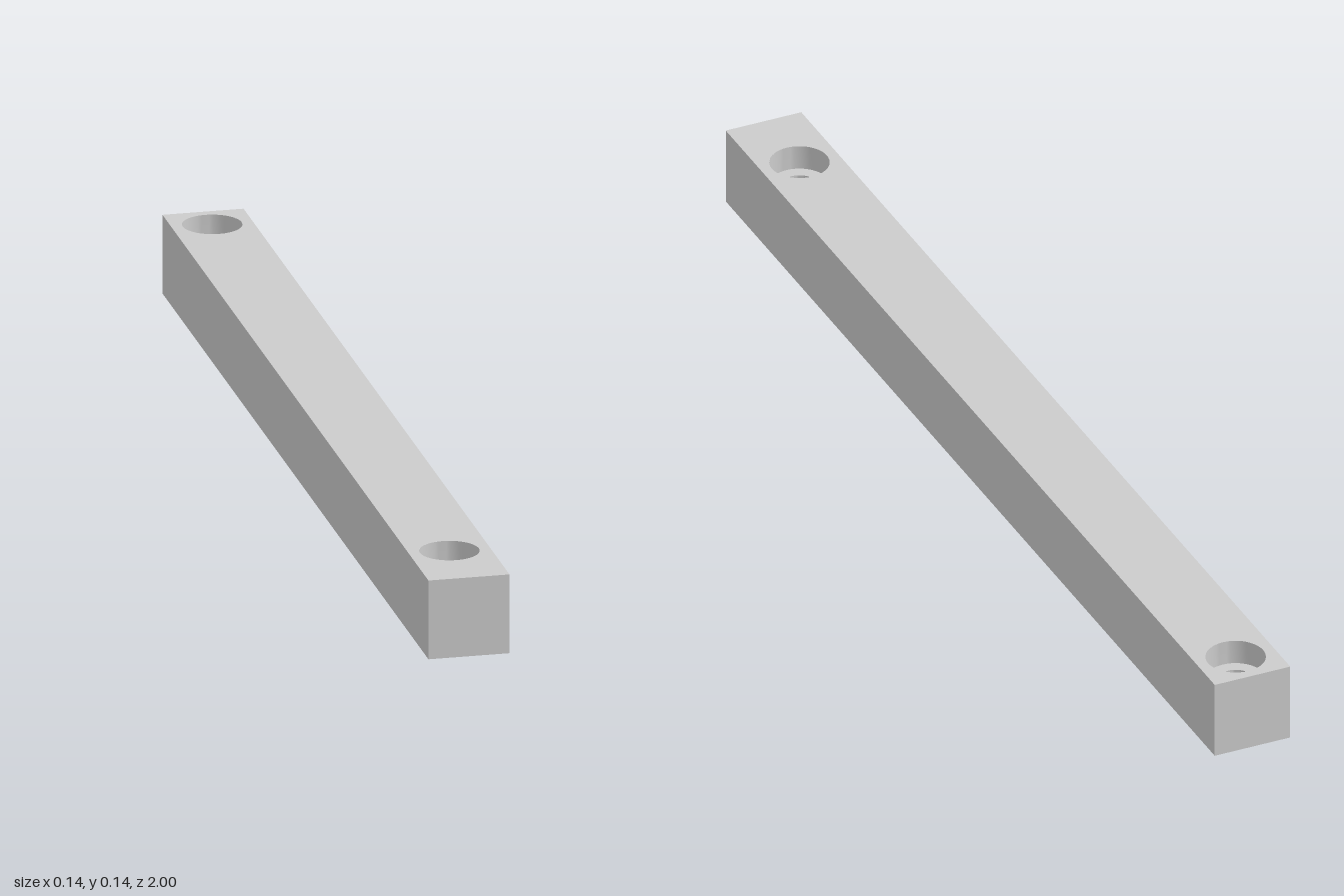
import * as THREE from 'three';
import { mergeGeometries, toCreasedNormals } from 'three/addons/utils/BufferGeometryUtils.js';

const W = 0.143, H = 0.143, L = 2;      // bar width, height, length
const BORE = 0.052, HOLE = 0.03;        // counterbore and through-hole radii
const DEPTH = 0.045;                    // counterbore depth
const HOLE_Z = [0.853, -0.931];
const SEG = 48;

// Rectangular face with a round opening at each screw position, facing up
function piercedFace(radius, y) {
  const s = new THREE.Shape();
  s.moveTo(-W / 2, -L / 2);
  s.lineTo(W / 2, -L / 2);
  s.lineTo(W / 2, L / 2);
  s.lineTo(-W / 2, L / 2);
  s.closePath();
  for (const z of HOLE_Z) {
    const hole = new THREE.Path();
    hole.absarc(0, -z, radius, 0, Math.PI * 2, true);
    s.holes.push(hole);
  }
  return new THREE.ShapeGeometry(s, SEG).rotateX(-Math.PI / 2).translate(0, y, 0);
}

// Turn a face over by reversing its triangles and normals
function flip(geometry) {
  geometry.index.array.reverse();
  const n = geometry.attributes.normal;
  for (let i = 0; i < n.count; i++) n.setXYZ(i, -n.getX(i), -n.getY(i), -n.getZ(i));
  return geometry;
}

export function createModel() {
  const model = new THREE.Group();
  model.name = 'mountingBar';
  const material = new THREE.MeshStandardMaterial({ color: 0xcccccc });

  // Bar: pierced top and bottom plus four side walls
  const faces = [piercedFace(BORE, H), flip(piercedFace(HOLE, 0))];
  for (let i = 0; i < 4; i++) {
    const alongX = i % 2 === 0;
    const wall = new THREE.PlaneGeometry(alongX ? W : L, H);
    wall.translate(0, H / 2, alongX ? L / 2 : W / 2).rotateY(i * Math.PI / 2);
    faces.push(wall);
  }
  const bar = new THREE.Mesh(mergeGeometries(faces), material);
  bar.name = 'bar';
  model.add(bar);

  // Stepped screw-hole linings, facing inwards
  const profile = [[BORE, H], [BORE, H - DEPTH], [HOLE, H - DEPTH], [HOLE, 0]]
    .map(([r, y]) => new THREE.Vector2(r, y));
  const lining = toCreasedNormals(new THREE.LatheGeometry(profile, SEG), Math.PI / 6);
  HOLE_Z.forEach((z, i) => {
    const hole = new THREE.Mesh(lining, material);
    hole.name = i === 0 ? 'frontScrewHole' : 'backScrewHole';
    hole.position.z = z;
    model.add(hole);
  });

  return model;
}
